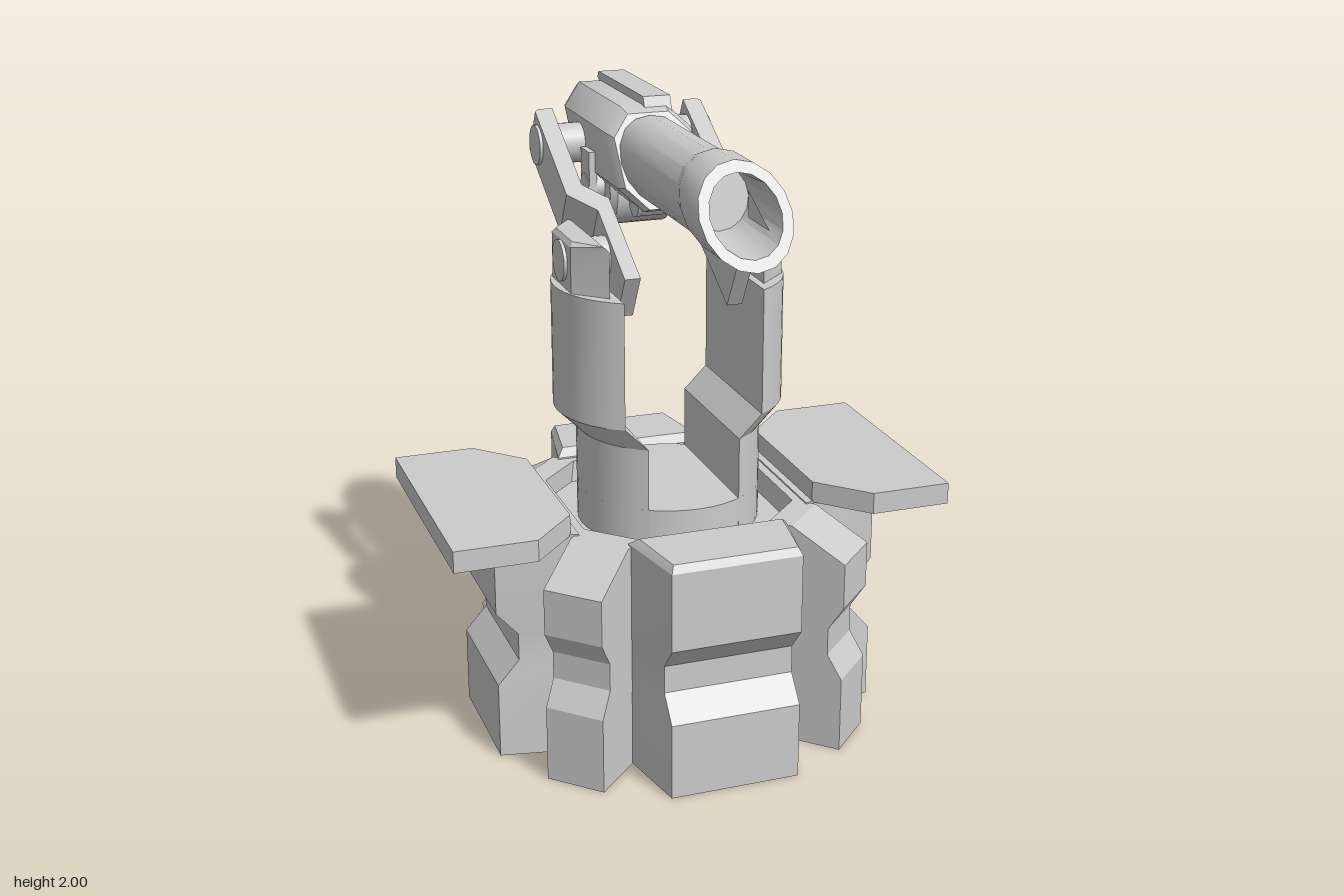
import * as THREE from 'three';
import { toCreasedNormals } from 'three/addons/utils/BufferGeometryUtils.js';

const material = new THREE.MeshStandardMaterial({ color: 0xcccccc });

function add(parent, name, geometry, x = 0, y = 0, z = 0) {
  const mesh = new THREE.Mesh(geometry, material);
  mesh.name = name;
  mesh.position.set(x, y, z);
  parent.add(mesh);
  return mesh;
}

// Skins a list of closed rings of [x, y, z] and caps both ends
function loft(rings) {
  const pos = [];
  const tri = (...pts) => pts.forEach((p) => pos.push(...p));
  const n = rings[0].length;
  const centre = (ring) => [0, 1, 2].map((k) => ring.reduce((s, p) => s + p[k], 0) / n);
  const first = rings[0], last = rings[rings.length - 1];
  for (let i = 0; i < n; i++) {
    const j = (i + 1) % n;
    for (let r = 0; r + 1 < rings.length; r++) {
      const a = rings[r], b = rings[r + 1];
      tri(a[i], a[j], b[j], a[i], b[j], b[i]);
    }
    tri(centre(first), first[j], first[i]);
    tri(centre(last), last[i], last[j]);
  }
  const geometry = new THREE.BufferGeometry();
  geometry.setAttribute('position', new THREE.Float32BufferAttribute(pos, 3));
  return toCreasedNormals(geometry, 0.4);
}

// Horizontal ring from [z, x] pairs at height y
const plan = (points, y, dx = 0, scale = 1) => points.map(([z, x]) => [x * scale + dx, y, z * scale]);

// Cylinder lying along x
const pinGeometry = (r, length, sides = 24) => new THREE.CylinderGeometry(r, r, length, sides).rotateZ(Math.PI / 2);

function buildBase() {
  const base = new THREE.Group();
  base.name = 'base';

  // Octagonal core with a shallow well
  const a = 0.39, b = 0.26;
  const octagon = [[a, -b], [a, b], [b, a], [-b, a], [-a, b], [-a, -b], [-b, -a], [b, -a]];
  const steps = [[0, 1], [0.75, 1], [0.75, 0.9], [0.68, 0.87]];
  add(base, 'core', loft(steps.map(([y, s]) => plan(octagon, y, 0, s))));

  // Four broad and four narrow buttresses with a pinched waist: [y, reach, half width, inner reach, inner half width]
  const broad = [[0, 0.64], [0.25, 0.64], [0.33, 0.57], [0.42, 0.57], [0.5, 0.64], [0.755, 0.64]]
    .map(([y, out]) => [y, out, 0.21, 0.38, 0.26]);
  broad.push([0.78, 0.625, 0.2, 0.41, 0.235]);
  const sideBroad = broad.slice(0, -1);
  const narrow = [[0, 0.66], [0.25, 0.66], [0.33, 0.61], [0.42, 0.61], [0.5, 0.66], [0.65, 0.66], [0.75, 0.48]]
    .map(([y, out]) => [y, out, 0.099, 0.4, 0.099]);
  const buttress = (levels) => loft(levels.map(([y, out, w, inner, wi]) =>
    plan([[out, -w], [out, w], [inner, wi], [inner, -wi]], y)));
  for (let i = 0; i < 4; i++) {
    add(base, 'broadButtress', buttress(i % 2 ? sideBroad : broad)).rotation.y = i * Math.PI / 2;
    add(base, 'narrowButtress', buttress(narrow)).rotation.y = (i + 0.5) * Math.PI / 2;
  }

  // Side platforms
  const wing = [[0.25, 0.405], [0.405, 0.55], [0.405, 0.812], [-0.405, 0.812], [-0.405, 0.55], [-0.25, 0.405]];
  for (const turn of [0, Math.PI]) {
    add(base, 'sidePlatform', loft([plan(wing, 0.75), plan(wing, 0.82)])).rotation.y = turn;
  }
  return base;
}

function buildTurntable() {
  const turntable = new THREE.Group();
  turntable.name = 'turntable';
  add(turntable, 'disc', new THREE.CylinderGeometry(0.295, 0.295, 0.2, 40), 0, 0.7, 0);

  // Columns share one circular-segment section that steps outward
  const start = Math.asin(0.15 / 0.295);
  const segment = Array.from({ length: 17 }, (_, i) => {
    const t = start + (Math.PI - 2 * start) * i / 16;
    return [0.295 * Math.cos(t), 0.295 * Math.sin(t)];
  });
  const column = loft([[0.7, 0], [1, 0], [1.075, 0.075], [1.48, 0.075]].map(([y, dx]) => plan(segment, y, dx)));
  const ear = [[0.19, 0.25], [0.1, 0.345], [-0.1, 0.345], [-0.19, 0.25]];
  const earTop = [[0.18, 0.265], [0.09, 0.335], [-0.09, 0.335], [-0.18, 0.265]];
  for (const turn of [0, Math.PI]) {
    const side = new THREE.Group();
    side.name = 'support';
    side.rotation.y = turn;
    add(side, 'column', column);
    add(side, 'columnEar', loft([plan(ear, 1.47), plan(ear, 1.625), plan(earTop, 1.64)]));
    add(side, 'lowerPin', pinGeometry(0.065, 0.19), 0.26, 1.56, 0);
    turntable.add(side);
  }
  return turntable;
}

function buildArms() {
  const arms = new THREE.Group();
  arms.name = 'arms';
  // Cranked link: [distance along the arm, x]
  const profile = [[-0.185, 0.155], [0.17, 0.155], [0.24, 0.225], [0.605, 0.225],
    [0.605, 0.275], [0.595, 0.285], [0.2, 0.285], [0.12, 0.205], [-0.185, 0.205]];
  const along = new THREE.Vector3(0, 0.496, -0.868).normalize();
  const across = new THREE.Vector3(1, 0, 0);
  const frame = new THREE.Matrix4().makeBasis(along, across, along.clone().cross(across));
  for (const s of [1, -1]) {
    const shape = new THREE.Shape(profile.map(([u, x]) => new THREE.Vector2(u, x * s)));
    const link = new THREE.ExtrudeGeometry(shape, { depth: 0.16, bevelEnabled: false });
    link.translate(0, 0, -0.08).applyMatrix4(frame);
    add(arms, 'link', link, 0, 1.56, -0.04);
    add(arms, 'upperPin', pinGeometry(0.065, 0.19), s * 0.2, 1.82, -0.495);
  }
  return arms;
}

function buildGun() {
  const gun = new THREE.Group();
  gun.name = 'gun';
  gun.position.y = 1.83;

  // Barrel, flared muzzle and bore: [z, radius, slant]
  const barrel = [[-0.2, 0.125, 0], [0.41, 0.125, 0.69], [0.47, 0.14, 0.69], [0.625, 0.14, 0.69],
    [0.625, 0.108, 0.69], [0.4, 0.095, 0.2]];
  add(gun, 'barrel', loft(barrel.map(([z, r, k]) => Array.from({ length: 16 }, (_, i) => {
    const t = i * Math.PI / 8, y = r * Math.sin(t);
    return [r * Math.cos(t), y, z - k * y];
  }))));

  // Raked octagonal housing with a recessed rear: [z, scale]
  const w = 0.143, c = 0.075;
  const octagon = [[w, -c], [w, c], [c, w], [-c, w], [-w, c], [-w, -c], [-c, -w], [c, -w]];
  const housing = [[-0.66, 0.6], [-0.71, 0.66], [-0.71, 0.8], [-0.6, 1], [-0.16, 1], [-0.115, 0.9]];
  add(gun, 'housing', loft(housing.map(([z, s]) =>
    octagon.map(([x, y]) => [x * s, y * s, z - 0.82 * y * s]))));

  // Offset top rail with a sloped tail
  const rail = new THREE.Shape([[0.25, 0.12], [0.27, 0.17], [0.74, 0.17], [0.75, 0.15], [0.7, 0.12]]
    .map(([z, y]) => new THREE.Vector2(z, y)));
  add(gun, 'topRail', new THREE.ExtrudeGeometry(rail, { depth: 0.09, bevelEnabled: false }).rotateY(Math.PI / 2));

  // Drum slung under the housing
  const drum = [[0, -0.11], [0.1, -0.11], [0.117, -0.09], [0.117, 0.09], [0.1, 0.11], [0, 0.11]]
    .map(([r, y]) => new THREE.Vector2(r, y));
  const drumGeometry = toCreasedNormals(new THREE.LatheGeometry(drum, 24), 0.4).rotateZ(Math.PI / 2);
  add(gun, 'drum', drumGeometry, 0, -0.14, -0.375);
  add(gun, 'drumAxle', pinGeometry(0.045, 0.33, 16), 0, -0.13, -0.375);
  add(gun, 'frontLug', pinGeometry(0.05, 0.18, 12), 0, -0.12, -0.1);
  for (const s of [1, -1]) {
    add(gun, 'drumBracket', new THREE.BoxGeometry(0.025, 0.16, 0.09), s * 0.15, -0.09, -0.375);
  }

  // Thin sight blade ahead of the muzzle
  const blade = new THREE.Shape([[-0.8, 0], [-0.64, 0], [-0.64, 0.075]].map(([z, y]) => new THREE.Vector2(z, y)));
  const sight = add(gun, 'sightBlade', new THREE.ShapeGeometry(blade).rotateY(Math.PI / 2));
  sight.material = material.clone();
  sight.material.side = THREE.DoubleSide;
  return gun;
}

export function createModel() {
  const model = new THREE.Group();
  model.name = 'turret';
  const base = buildBase(), turntable = buildTurntable();
  base.position.z = turntable.position.z = -0.04;
  model.add(base, turntable, buildArms(), buildGun());
  return model;
}
